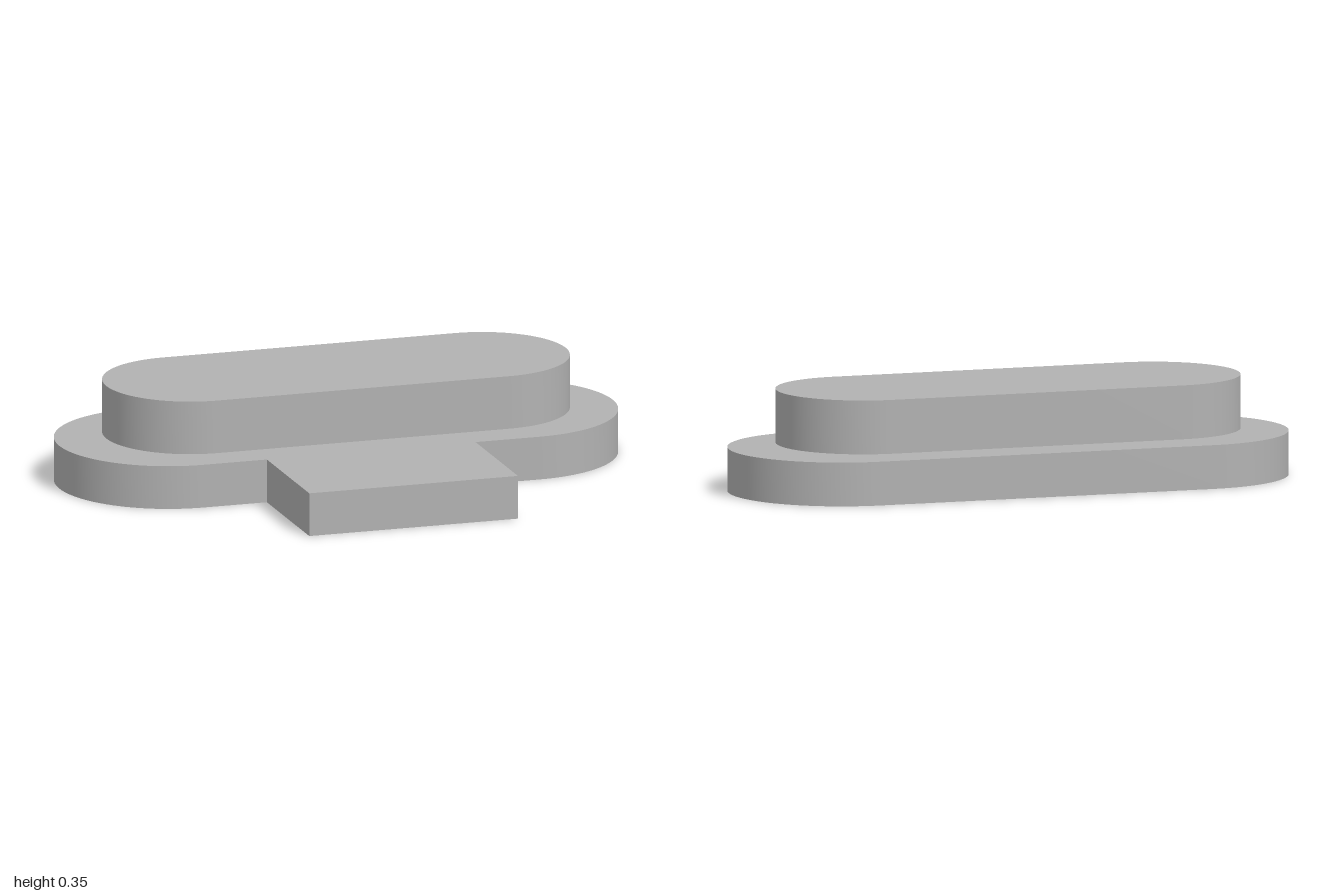
import * as THREE from 'three';
import { toCreasedNormals } from 'three/addons/utils/BufferGeometryUtils.js';

const CENTER_Z = -0.237;

// Stadium outline in plan (shape y = -z), with an optional rectangular tongue at the front
function stadium(halfLength, radius, tongue) {
  const cx = halfLength - radius;
  const cy = -CENTER_Z;
  const s = new THREE.Shape();
  s.moveTo(-cx, cy - radius);
  if (tongue) {
    s.lineTo(-tongue.halfWidth, cy - radius);
    s.lineTo(-tongue.halfWidth, -tongue.frontZ);
    s.lineTo(tongue.halfWidth, -tongue.frontZ);
    s.lineTo(tongue.halfWidth, cy - radius);
  }
  s.lineTo(cx, cy - radius);
  s.absarc(cx, cy, radius, -Math.PI / 2, Math.PI / 2, false);
  s.lineTo(-cx, cy + radius);
  s.absarc(-cx, cy, radius, Math.PI / 2, Math.PI * 1.5, false);
  return s;
}

// Upright slab between two heights, smooth round ends and sharp rims
function slab(name, shape, y0, y1, material) {
  const geometry = new THREE.ExtrudeGeometry(shape, { depth: y1 - y0, bevelEnabled: false, curveSegments: 40 });
  geometry.rotateX(-Math.PI / 2);
  geometry.translate(0, y0, 0);
  const mesh = new THREE.Mesh(toCreasedNormals(geometry, 0.5), material);
  mesh.name = name;
  return mesh;
}

export function createModel() {
  const group = new THREE.Group();
  group.name = 'steppedPlatform';
  const grey = new THREE.MeshStandardMaterial({ color: 0xb2b2b2 });
  grey.name = 'grey';

  // Lower plate with front tongue
  group.add(slab('basePlate', stadium(1, 0.393, { halfWidth: 0.377, frontZ: 0.63 }), 0, 0.152, grey));
  // Upper block, held just above the plate
  group.add(slab('upperBlock', stadium(0.83, 0.302), 0.164, 0.351, grey));
  return group;
}
